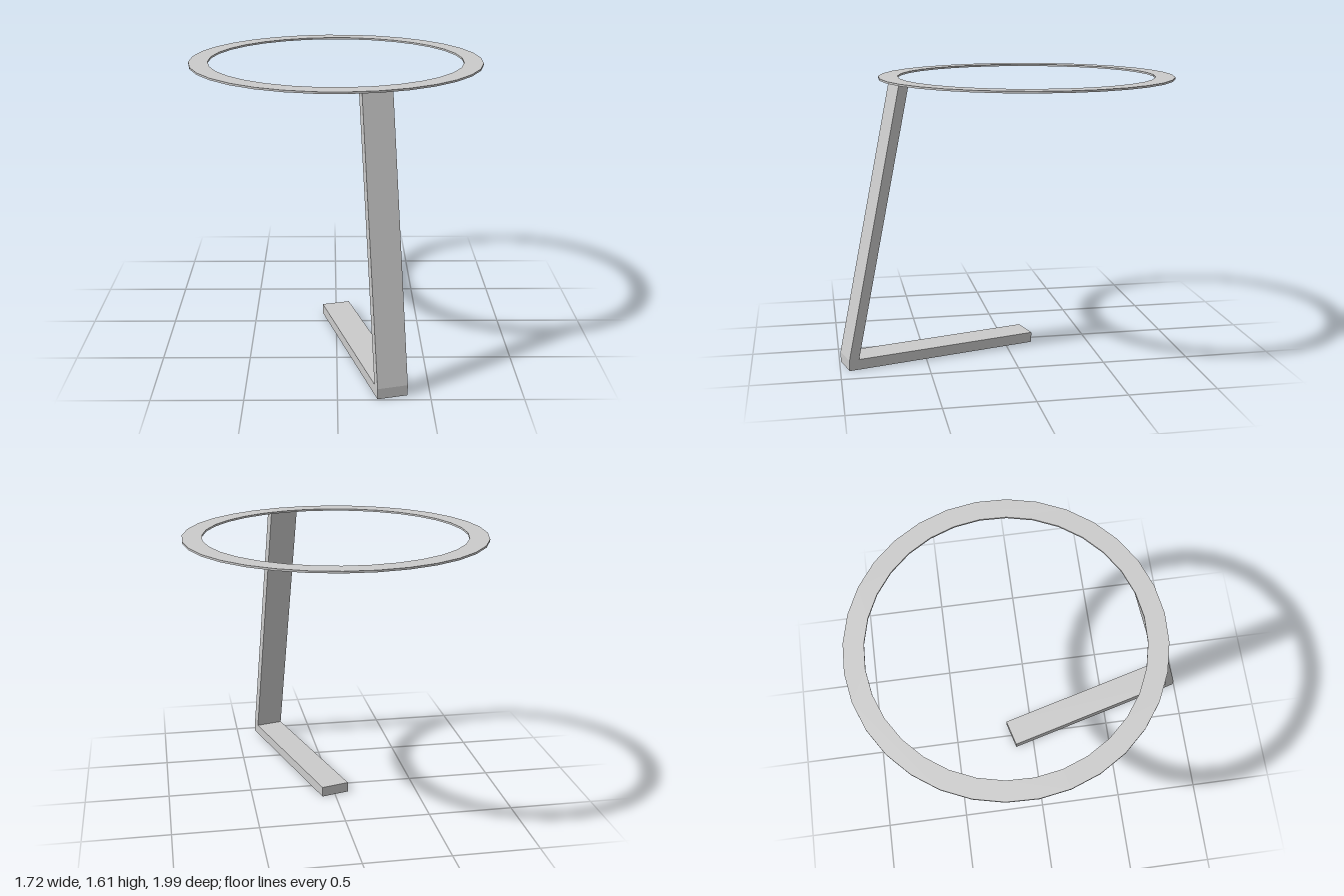
import * as THREE from 'three';

const WIDTH = 0.17; // bar width
const LENGTH = 1.15; // foot length
const FOOT = 0.06; // foot height
const LEG = 0.057; // leg thickness, measured level
const LEAN = 0.33; // how far the leg leans back over the foot
const TOP = 1.603; // underside of the ring
const RING = 0.011; // ring thickness

export function createModel() {
  const model = new THREE.Group();
  model.name = 'cantileverTableFrame';
  const material = new THREE.MeshStandardMaterial({ color: 0xcccccc });

  // Foot and leaning leg: one bent profile, extruded across its width
  const profile = new THREE.Shape([
    [0, 0], [LENGTH, 0], [LENGTH, FOOT],
    [LENGTH - LEAN, TOP], [LENGTH - LEAN - LEG, TOP],
    [LENGTH - LEG, FOOT], [0, FOOT],
  ].map(([x, y]) => new THREE.Vector2(x, y)));
  const standGeometry = new THREE.ExtrudeGeometry(profile, { depth: WIDTH, bevelEnabled: false });
  standGeometry.translate(0, 0, -WIDTH / 2);
  standGeometry.rotateY(-Math.PI / 2);
  const stand = new THREE.Mesh(standGeometry, material);
  stand.name = 'footAndLeg';
  model.add(stand);

  // Thin flat 32-sided ring resting on the leg
  const outline = new THREE.Shape().absarc(0, 0, 0.862, 0, Math.PI * 2, false);
  outline.holes.push(new THREE.Path().absarc(0, 0, 0.75, 0, Math.PI * 2, true));
  const ringGeometry = new THREE.ExtrudeGeometry(outline, {
    depth: RING, bevelEnabled: false, curveSegments: 16,
  });
  ringGeometry.rotateX(-Math.PI / 2);
  const ring = new THREE.Mesh(ringGeometry, material);
  ring.name = 'topRing';
  ring.position.y = TOP;
  model.add(ring);

  // The whole frame is turned about the ring's centre
  model.rotation.y = THREE.MathUtils.degToRad(15);
  model.position.set(-0.002, 0, -0.14);
  const root = new THREE.Group();
  root.name = 'tableFrame';
  root.add(model);
  return root;
}
